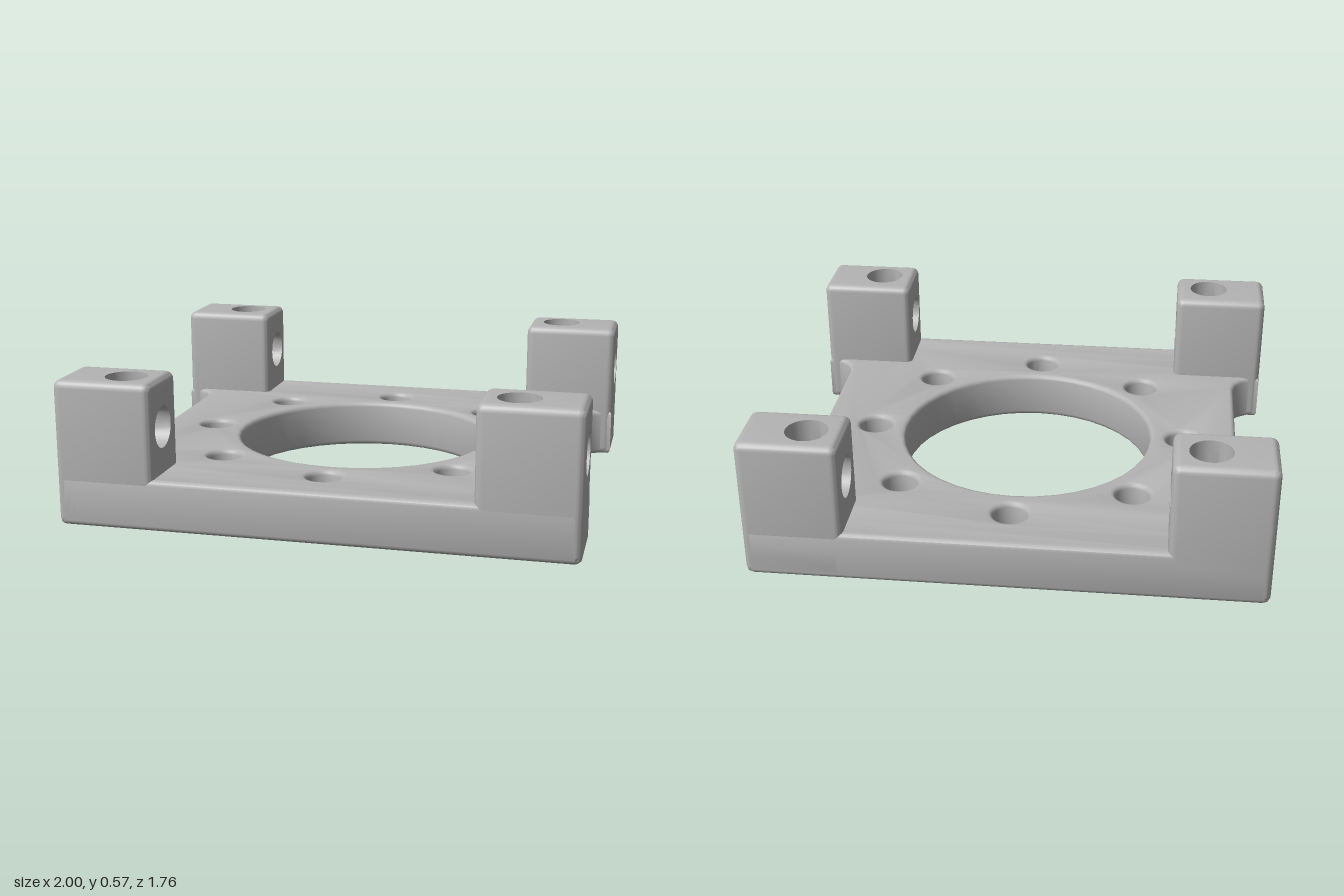
import * as THREE from 'three';
import { mergeGeometries, toCreasedNormals } from 'three/addons/utils/BufferGeometryUtils.js';
import { RoundedBoxGeometry } from 'three/addons/geometries/RoundedBoxGeometry.js';

const HOLE_R = 0.082, HOLE_X = 0.75, HOLE_Z = 0.75, HOLE_Y = 0.38;
const POST = { x: 0.805, y: 0.285, z: 0.742, w: 0.39, h: 0.57, d: 0.28, r: 0.03 };

function circle(x, y, r) {
  return new THREE.Path().absarc(x, y, r, 0, Math.PI * 2, true);
}

// Plate with four ears, a large bore, a ring of bolt holes and corner holes
function plateGeometry() {
  const b = 0.02, X = 1, Z = 0.882, c = 0.03;
  const quarter = [[0.88, 0.49], [0.89, 0.54], [0.92, 0.58], [0.96, 0.605], [X, 0.605],
    [X, Z - c], [X - c * 0.3, Z - c * 0.3], [X - c, Z]];
  const mirror = (sx, sz) => quarter.map(([x, z]) => new THREE.Vector2(x * sx, z * sz));
  const shape = new THREE.Shape([
    ...mirror(1, 1), ...mirror(-1, 1).reverse(), ...mirror(-1, -1), ...mirror(1, -1).reverse(),
  ]);
  shape.holes.push(circle(0, 0, 0.52));
  for (let i = 0; i < 8; i++) {
    const a = i * Math.PI / 4;
    shape.holes.push(circle(0.656 * Math.cos(a), 0.656 * Math.sin(a), 0.068));
  }
  for (const sx of [-1, 1]) for (const sz of [-1, 1]) {
    shape.holes.push(circle(sx * HOLE_X, sz * HOLE_Z, HOLE_R));
  }
  const geo = new THREE.ExtrudeGeometry(shape, {
    depth: 0.2 - 2 * b, curveSegments: 20, bevelSize: b, bevelThickness: b, bevelOffset: -b, bevelSegments: 3,
  });
  geo.rotateX(-Math.PI / 2).translate(0, b, 0);
  return toCreasedNormals(geo, 0.6);
}

// Rounded box without the flat middles of its x and y faces
function openBox(w, h, d, r) {
  const box = new RoundedBoxGeometry(w, h, d, 3, r);
  const p = box.attributes.position, kept = [];
  for (let i = 0; i < p.count; i += 3) {
    const tri = [i, i + 1, i + 2];
    const flat = tri.every(k => Math.abs(p.getX(k)) > w / 2 - 1e-5)
      || tri.every(k => Math.abs(p.getY(k)) > h / 2 - 1e-5);
    if (!flat) for (const k of tri) kept.push(p.getX(k), p.getY(k), p.getZ(k));
  }
  return new THREE.BufferGeometry().setAttribute('position', new THREE.Float32BufferAttribute(kept, 3));
}

// Flat panel with a round hole
function panel(w, h, hx, hy) {
  const s = new THREE.Shape([[-1, -1], [1, -1], [1, 1], [-1, 1]]
    .map(([x, y]) => new THREE.Vector2(x * w / 2, y * h / 2)));
  s.holes.push(circle(hx, hy, HOLE_R));
  return new THREE.ShapeGeometry(s, 16);
}

// Inside wall of one arm of the crossing bores, mitred where they meet
function boreArm(length) {
  const geo = new THREE.CylinderGeometry(HOLE_R, HOLE_R, 1, 32, 1, true);
  const p = geo.attributes.position;
  for (let i = 0; i < p.count; i++) p.setY(i, p.getY(i) > 0 ? length : Math.abs(p.getX(i)));
  const order = geo.index.array;
  for (let i = 0; i < order.length; i += 3) [order[i], order[i + 1]] = [order[i + 1], order[i]];
  return geo;
}

// Corner post with a vertical bore and a sideways bore
function postGeometry(sx, sz) {
  const { w, h, d, r } = POST;
  const cx = sx * POST.x, cz = sz * POST.z;
  const dx = sx * HOLE_X - cx, dy = HOLE_Y - POST.y, dz = sz * HOLE_Z - cz;
  const parts = [
    openBox(w, h, d, r),
    panel(w - 2 * r, d - 2 * r, dx, -dz).rotateX(-Math.PI / 2).translate(0, h / 2, 0),
    panel(d - 2 * r, h - 2 * r, -dz, dy).rotateY(Math.PI / 2).translate(w / 2, 0, 0),
    panel(d - 2 * r, h - 2 * r, dz, dy).rotateY(-Math.PI / 2).translate(-w / 2, 0, 0),
    boreArm(h / 2 - dy).translate(dx, dy, dz),
    boreArm(HOLE_Y - 0.02).rotateX(Math.PI).translate(dx, dy, dz),
    boreArm(w / 2 - dx).rotateZ(-Math.PI / 2).translate(dx, dy, dz),
    boreArm(w / 2 + dx).rotateZ(Math.PI / 2).translate(dx, dy, dz),
  ].map(g => {
    const flat = g.index ? g.toNonIndexed() : g;
    flat.deleteAttribute('uv');
    flat.deleteAttribute('normal');
    return flat;
  });
  return toCreasedNormals(mergeGeometries(parts), 0.6).translate(cx, POST.y, cz);
}

export function createModel() {
  const grey = new THREE.MeshStandardMaterial({ color: 0xb4b4b4 });
  grey.name = 'light grey';
  const model = new THREE.Group();
  model.name = 'mountingBracket';
  const add = (name, geo) => {
    const mesh = new THREE.Mesh(geo, grey);
    mesh.name = name;
    model.add(mesh);
  };
  add('basePlate', plateGeometry());
  for (const sx of [-1, 1]) for (const sz of [-1, 1]) {
    add((sz > 0 ? 'front' : 'back') + (sx > 0 ? 'Left' : 'Right') + 'Post', postGeometry(sx, sz));
  }
  return model;
}
